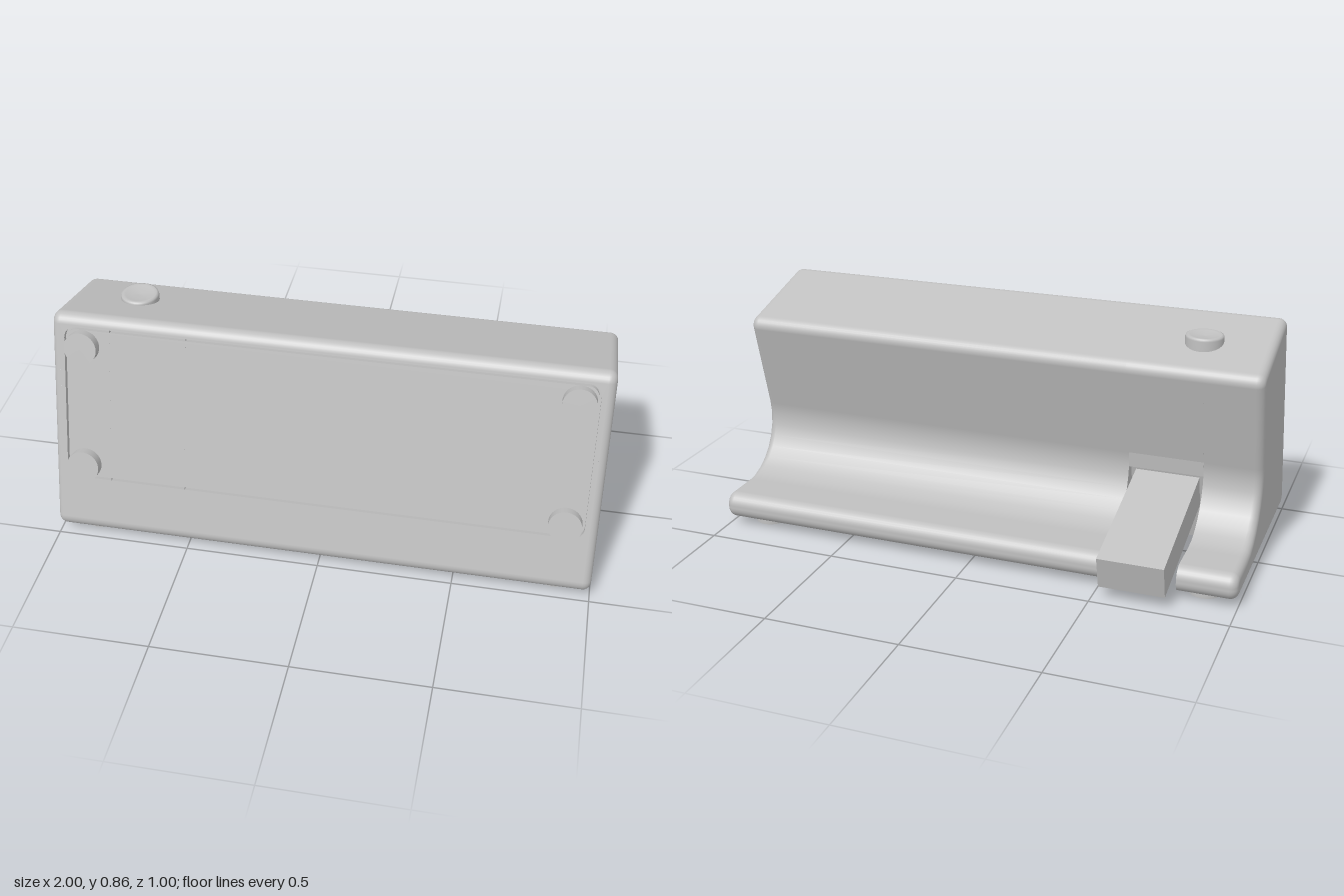
import * as THREE from 'three';

const TILT = THREE.MathUtils.degToRad(15);
const STEPS = 8;
const BEVEL = 0.03;

const grey = new THREE.MeshStandardMaterial({ color: 0xc0c0c0 });
grey.name = 'light grey';

function mesh(name, geometry, parent, x = 0, y = 0, z = 0) {
  const m = new THREE.Mesh(geometry, grey);
  m.name = name;
  m.position.set(x, y, z);
  parent.add(m);
  return m;
}

// Side outline with rounded corners: corners are [z, y, radius], each result has point and outward normal
function roundedOutline(corners) {
  const out = [];
  corners.forEach(([z, y, r], i) => {
    const p = new THREE.Vector2(z, y);
    const prev = corners.at(i - 1), next = corners[(i + 1) % corners.length];
    const t1 = p.clone().sub(new THREE.Vector2(prev[0], prev[1])).normalize();
    const t2 = new THREE.Vector2(next[0], next[1]).sub(p).normalize();
    const turn = Math.atan2(t1.cross(t2), t1.dot(t2));
    const s = Math.sign(turn) || 1;
    const n1 = new THREE.Vector2(t1.y, -t1.x);
    const center = p.clone().addScaledVector(t1, -r * Math.tan(Math.abs(turn) / 2)).addScaledVector(n1, -s * r);
    const steps = r > 0 ? STEPS : 1;
    for (let k = 0; k <= steps; k++) {
      const n = n1.clone().rotateAround(new THREE.Vector2(), turn * k / steps);
      out.push({ p: center.clone().addScaledVector(n, s * r), n });
    }
  });
  return out;
}

// Sweep an outline along x through rings [x, inset, bevel angle]; the flat front strip is left open
function sweep(outline, rings) {
  const pos = [], nor = [], index = [];
  const n = outline.length;
  const at = (o, inset) => o.p.clone().addScaledVector(o.n, -inset);
  for (const [x, inset, a] of rings) {
    for (const o of outline) {
      const q = at(o, inset);
      pos.push(x, q.y, q.x);
      nor.push(Math.sin(a), o.n.y * Math.cos(a), o.n.x * Math.cos(a));
    }
  }
  for (let r = 0; r < rings.length - 1; r++) {
    const flat = rings[r][1] === 0 && rings[r + 1][1] === 0;
    for (let i = 0; i < n; i++) {
      if (flat && i === STEPS) continue;
      const j = (i + 1) % n, a = r * n, b = a + n;
      index.push(a + i, b + i, b + j, a + i, b + j, a + j);
    }
  }
  // End caps
  for (const [ring, dir] of [[rings[0], -1], [rings.at(-1), 1]]) {
    const pts = outline.map(o => at(o, ring[1]));
    const base = pos.length / 3;
    pts.forEach(q => { pos.push(ring[0], q.y, q.x); nor.push(dir, 0, 0); });
    for (const [a, b, c] of THREE.ShapeUtils.triangulateShape(pts, [])) {
      const area = pts[b].clone().sub(pts[a]).cross(pts[c].clone().sub(pts[a]));
      if (area * dir < 0) index.push(base + a, base + b, base + c);
      else index.push(base + a, base + c, base + b);
    }
  }
  const g = new THREE.BufferGeometry();
  g.setAttribute('position', new THREE.Float32BufferAttribute(pos, 3));
  g.setAttribute('normal', new THREE.Float32BufferAttribute(nor, 3));
  g.setIndex(index);
  return g;
}

// Rings of the rounded end at x = side, ordered by rising x
function endRings(side) {
  const rings = [];
  for (let k = 0; k <= 5; k++) {
    const a = k / 5 * Math.PI / 2;
    rings.push([side * (1 - BEVEL + BEVEL * Math.sin(a)), BEVEL * (1 - Math.cos(a)), side * a]);
  }
  return side < 0 ? rings.reverse() : rings;
}

function roundedRect(Type, halfW, y0, y1, r) {
  const s = new Type();
  s.absarc(halfW - r, y0 + r, r, -Math.PI / 2, 0);
  s.absarc(halfW - r, y1 - r, r, 0, Math.PI / 2);
  s.absarc(-halfW + r, y1 - r, r, Math.PI / 2, Math.PI);
  s.absarc(-halfW + r, y0 + r, r, Math.PI, Math.PI * 1.5);
  s.closePath();
  return s;
}

export function createModel() {
  const model = new THREE.Group();
  model.name = 'deskUnit';

  // Housing: leaning body with a curved back running out to a low foot
  const upper = [[0.513, 0.03, 0.045], [0.288, 0.87, 0.04], [-0.136, 0.757, 0.04]];
  const full = roundedOutline([...upper, [0.032, 0.13, 0.2], [-0.4, 0.13, 0.045], [-0.4, 0.03, 0.045]]);
  // Outline where the lever slot cuts through the foot
  const notched = roundedOutline([...upper,
    [-0.036, 0.383, 0], [-0.03, 0.325, 0], [-0.002, 0.333, 0], [0.08, 0.03, 0]]);
  const slotA = -0.785, slotB = -0.505;
  const housing = new THREE.Group();
  housing.name = 'housing';
  model.add(housing);
  mesh('housingRight', sweep(full, [...endRings(-1), [slotA, 0, 0]]), housing);
  mesh('housingSlot', sweep(notched, [[slotA, 0, 0], [slotB, 0, 0]]), housing);
  mesh('housingLeft', sweep(full, [[slotB, 0, 0], ...endRings(1)]), housing);

  // Leaning front: local y runs up the slope, local z points out of it
  const front = new THREE.Group();
  front.name = 'front';
  const foot = full[STEPS].p, height = foot.distanceTo(full[STEPS + 1].p);
  front.position.set(0, foot.y, foot.x);
  front.rotation.x = -TILT;
  model.add(front);
  const up = y => (y - foot.y) / Math.cos(TILT);

  // Front frame with a recess, and the cover panel inside it
  const lo = up(0.253), hi = Math.min(up(0.826), height - 0.006);
  const frame = new THREE.Shape();
  frame.moveTo(-1 + BEVEL, 0).lineTo(1 - BEVEL, 0).lineTo(1 - BEVEL, height).lineTo(-1 + BEVEL, height).closePath();
  frame.holes.push(roundedRect(THREE.Path, 0.953, lo, hi, 0.045));
  const depth = 0.02, extrude = { depth, bevelEnabled: false, curveSegments: 8 };
  mesh('frontFrame', new THREE.ExtrudeGeometry(frame, extrude), front, 0, 0, -depth);
  const g = 0.009;
  mesh('coverPanel', new THREE.ExtrudeGeometry(
    roundedRect(THREE.Shape, 0.953 - g, lo + g, hi - g, 0.036), extrude), front, 0, 0, -depth);
  mesh('recessFloor', new THREE.BoxGeometry(1.92, hi - lo + 0.01, 0.005), front, 0, (lo + hi) / 2, -depth - 0.002);

  // Round pads at the panel corners, and feet under the base
  const pad = new THREE.CylinderGeometry(0.06, 0.06, 0.05, 40);
  const footGeo = new THREE.CylinderGeometry(0.06, 0.06, 0.04, 40);
  for (const side of [-1, 1]) {
    for (const y of [0.31, 0.759]) {
      mesh('panelPad', pad, front, side * 0.883, up(y), 0.012).rotation.x = Math.PI / 2;
    }
    for (const z of [0.388, -0.282]) mesh('foot', footGeo, model, side * 0.867, 0.02, z);
  }

  // Push button on top, with rounded rim and a shallow dish
  const rim = [[0.07, 0.76], [0.07, 0.828], [0.0675, 0.835], [0.061, 0.838], [0.052, 0.836], [0.03, 0.832], [0, 0.83]];
  mesh('topButton', new THREE.LatheGeometry(rim.map(([r, y]) => new THREE.Vector2(r, y)), 40), model, -0.743, 0, 0.062);

  // Lever sloping out through the slot at the back
  mesh('lever', new THREE.BoxGeometry(0.24, 0.128, 0.52), model, -0.645, 0.177, -0.235).rotation.x = -TILT;

  return model;
}
